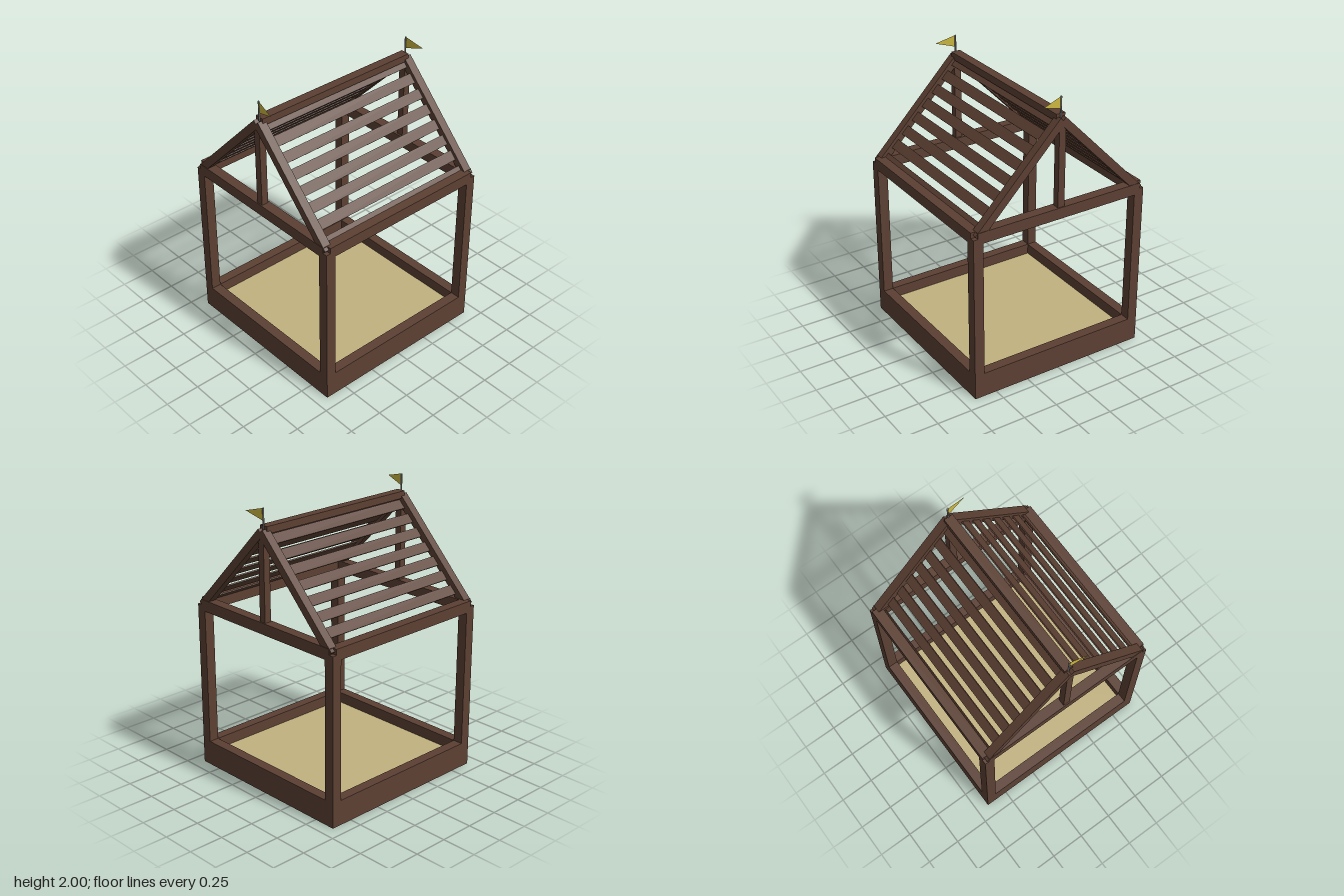
import * as THREE from 'three';

export function createModel() {
  const model = new THREE.Group();
  model.name = 'coveredSandbox';

  const material = (name, color, side = THREE.FrontSide) => {
    const m = new THREE.MeshStandardMaterial({ color, side });
    m.name = name;
    return m;
  };
  const wood = material('darkWood', 0x5c4033);
  const sand = material('sand', 0xc2b280);
  const metal = material('greyMetal', 0x808080);
  const cloth = material('yellowCloth', 0xcdb840, THREE.DoubleSide);

  const box = (name, mat, w, h, d, x, y, z, tilt = 0) => {
    const mesh = new THREE.Mesh(new THREE.BoxGeometry(w, h, d), mat);
    mesh.name = name;
    mesh.position.set(x, y, z);
    mesh.rotation.x = tilt;
    model.add(mesh);
    return mesh;
  };

  const outer = 0.663; // half width of the frame
  const thick = 0.072; // timber thickness
  const mid = outer - thick / 2;

  // Sand bed
  box('sandBed', sand, 2 * (outer - thick), 0.1, 2 * (outer - thick), 0, 0.05, 0);

  for (const s of [-1, 1]) {
    // Base boards and top beams
    box('baseBoard', wood, 2 * outer, 0.18, thick, 0, 0.09, s * mid);
    box('sideBaseBoard', wood, thick, 0.18, 2 * (outer - thick), s * mid, 0.09, 0);
    box('eaveBeam', wood, 1.26, 0.08, thick, 0, 1.2, s * mid);
    box('gableBeam', wood, thick, 0.08, 1.26, s * mid, 1.2, 0);
    // Corner posts
    for (const t of [-1, 1]) {
      box('cornerPost', wood, thick, 1.02, thick, s * mid, 0.69, t * mid);
    }
    // Gable king posts
    box('kingPost', wood, 0.05, 0.6, 0.05, s * 0.63, 1.53, 0);
  }

  // Roof slopes: centre line of the rafters
  const slope = 1.03;
  const pitch = Math.atan(slope);
  const lineY = (z) => 1.846 - slope * z;

  for (const s of [-1, 1]) {
    // Rafters
    const foot = 0.627;
    for (const t of [-1, 1]) {
      box('rafter', wood, 0.06, 0.056, foot / Math.cos(pitch),
        t * 0.63, lineY(foot / 2), s * foot / 2, s * pitch);
    }
    // Spaced roof slats, set slightly lower on the back slope
    const startZ = s > 0 ? 0.023 : 0.034;
    const drop = s > 0 ? 0 : 0.017;
    for (let i = 0; i < 8; i++) {
      const z = startZ + i * 0.0815;
      box('roofSlat', wood, 1.21, 0.01, 0.072, 0, lineY(z) - drop, s * z, s * pitch);
    }
  }

  // Ridge beam
  box('ridgeBeam', wood, 1.26, 0.05, 0.066, 0, 1.86, 0);

  // Pennants at both ends of the ridge
  for (const s of [-1, 1]) {
    const pole = new THREE.Mesh(new THREE.CylinderGeometry(0.006, 0.006, 0.14, 8), metal);
    pole.name = 'flagPole';
    pole.position.set(s * 0.63, 1.93, 0);
    model.add(pole);

    const shape = new THREE.Shape();
    shape.moveTo(0, 1.915);
    shape.lineTo(0.147, 1.96);
    shape.lineTo(0, 2.0);
    const flag = new THREE.Mesh(new THREE.ShapeGeometry(shape), cloth);
    flag.name = 'pennant';
    flag.position.x = s * 0.63;
    flag.rotation.y = -Math.PI / 2 + s * 0.15;
    model.add(flag);
  }

  return model;
}
